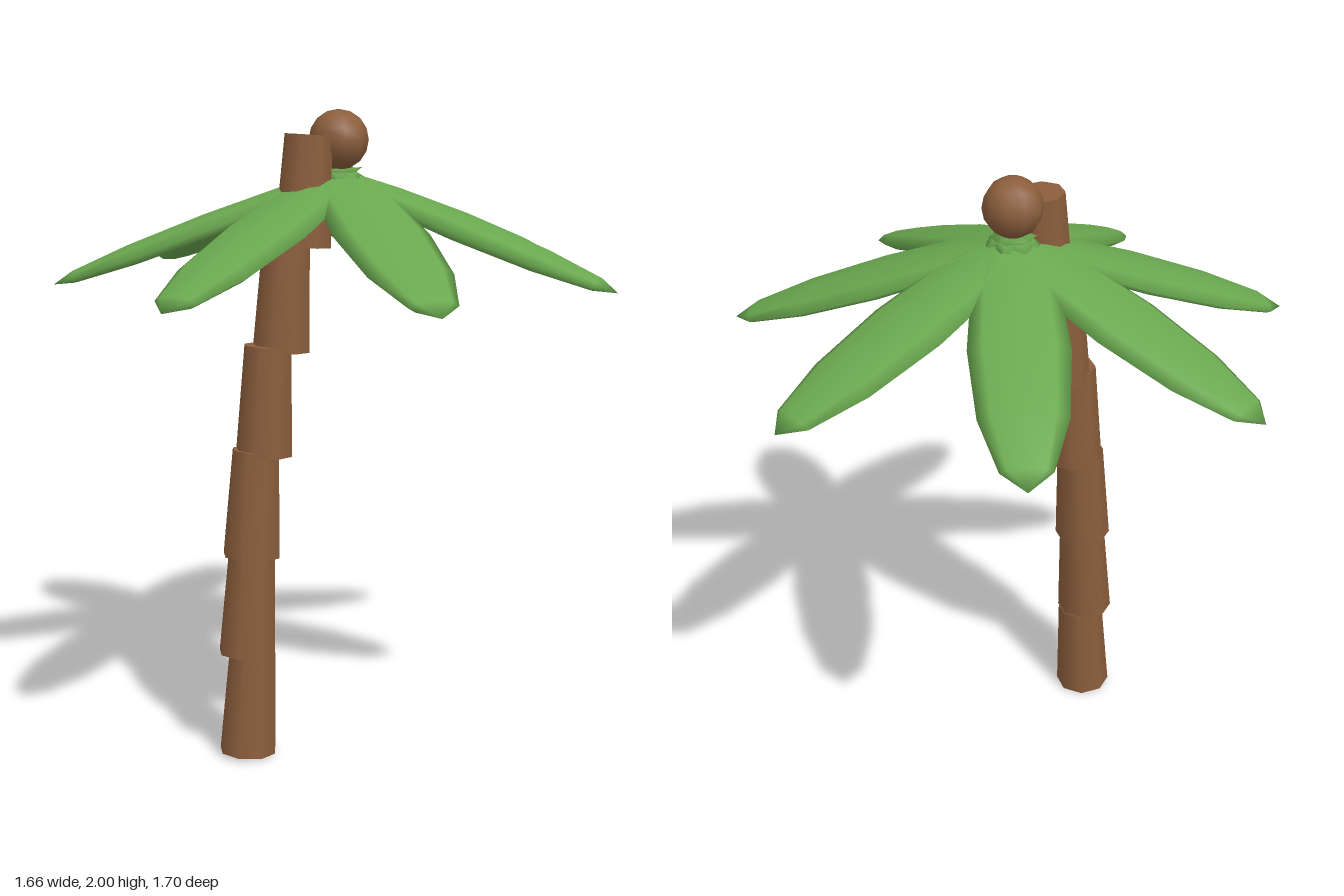
import * as THREE from 'three';

export function createModel() {
  const model = new THREE.Group();
  const bark = new THREE.MeshStandardMaterial({ color: 0x8b5e3c });
  bark.name = 'bark brown';
  const leaf = new THREE.MeshStandardMaterial({ color: 0x6aa84f });
  leaf.name = 'leaf green';

  function add(parent, name, geometry, material) {
    const mesh = new THREE.Mesh(geometry, material);
    mesh.name = name;
    parent.add(mesh);
    return mesh;
  }

  // Trunk: tapered segments, each [bottom x, bottom y, top x, top y]
  const trunk = new THREE.Group();
  trunk.name = 'trunk';
  model.add(trunk);
  const segments = [
    [-0.384, 0.006, -0.363, 0.335],
    [-0.382, 0.33, -0.361, 0.655],
    [-0.363, 0.642, -0.343, 0.975],
    [-0.315, 0.957, -0.298, 1.295],
    [-0.252, 1.275, -0.231, 1.61],
    [-0.175, 1.59, -0.152, 1.925],
  ];
  for (const [x0, y0, x1, y1] of segments) {
    const length = Math.hypot(x1 - x0, y1 - y0);
    const part = add(trunk, 'trunkSegment', new THREE.CylinderGeometry(0.074, 0.09, length, 8), bark);
    part.position.set((x0 + x1) / 2, (y0 + y1) / 2, 0);
    part.rotation.z = -Math.atan2(x1 - x0, y1 - y0);
  }

  // Crown: seven drooping, flattened leaves whose roots cross at the centre
  const crown = new THREE.Group();
  crown.name = 'crown';
  crown.position.set(-0.045, 1.65, 0);
  model.add(crown);
  const leafGeometry = new THREE.SphereGeometry(1, 8, 6);
  leafGeometry.rotateZ(-Math.PI / 2);
  leafGeometry.scale(0.504, 0.037, 0.147);
  leafGeometry.rotateZ(-0.354);
  leafGeometry.translate(0.4, 0, 0);
  for (let i = 0; i < 7; i++) {
    add(crown, 'leaf', leafGeometry, leaf).rotation.y = (i * Math.PI * 2) / 7;
  }

  // Nut resting on top of the crown
  add(model, 'nut', new THREE.SphereGeometry(0.092, 10, 8), bark).position.set(-0.045, 1.908, 0);

  return model;
}
